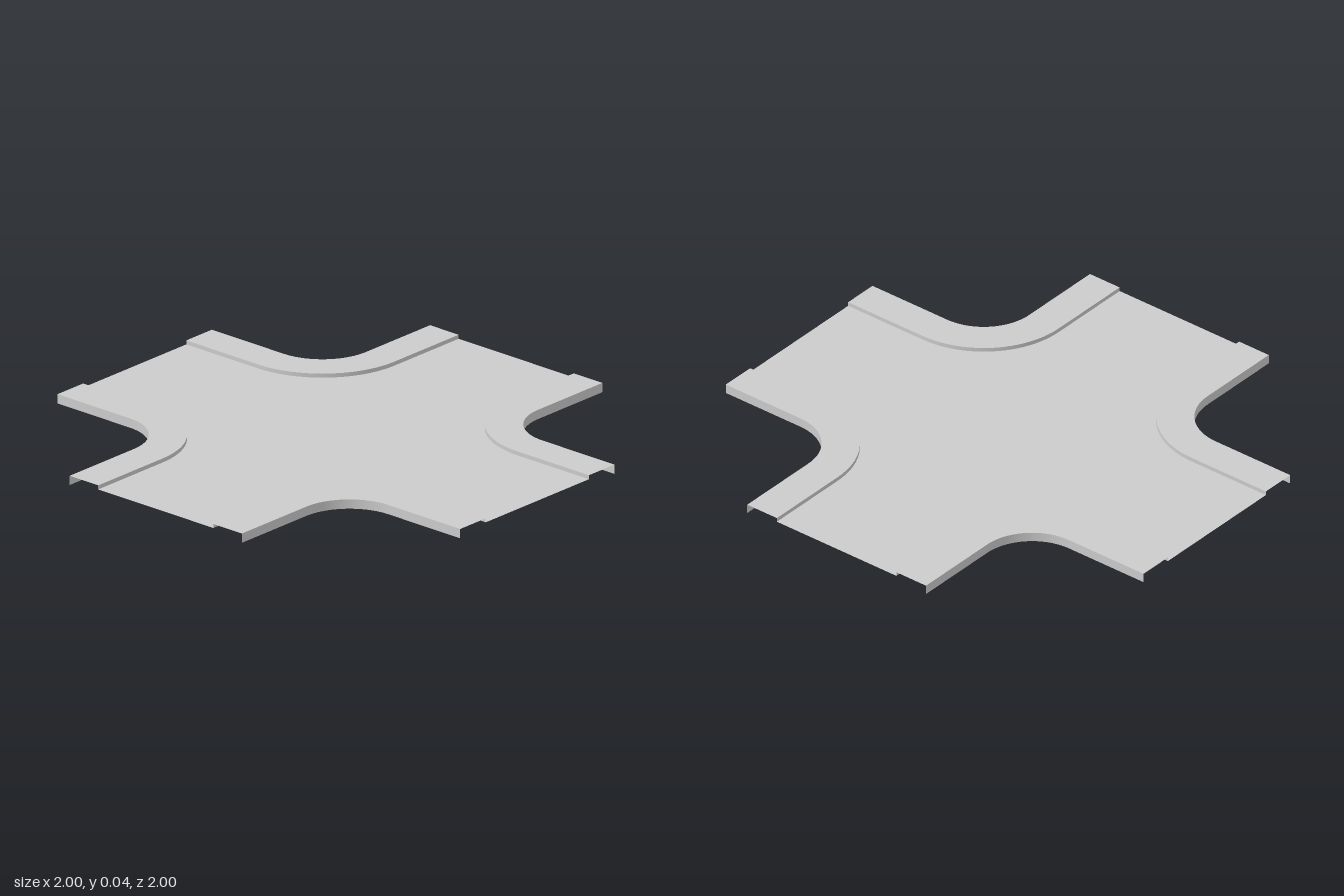
import * as THREE from 'three';

const material = new THREE.MeshStandardMaterial({ color: 0xcccccc, side: THREE.DoubleSide });

const INNER = 0.286, OUTER = 0.428, BEND = 0.643; // kerb line, outer edge, centre of corner bend
const ROAD_Y = 0.021, TOP_Y = 0.037;
const SEGMENTS = 24;

// Line [x, z] along one corner: straight, quarter bend, straight
function cornerPath(edge) {
  const radius = BEND - edge;
  const points = [[edge, 1]];
  for (let i = 0; i <= SEGMENTS; i++) {
    const a = Math.PI * (1 + 0.5 * i / SEGMENTS);
    points.push([BEND + radius * Math.cos(a), BEND - radius * Math.cos(a - Math.PI / 2) * -1]);
  }
  points.push([1, edge]);
  return points;
}

// Open strip between two corner lines, each at its own height
function strip(name, edgeA, yA, edgeB, yB) {
  const a = cornerPath(edgeA), b = cornerPath(edgeB);
  const positions = [], index = [];
  a.forEach((p, i) => {
    positions.push(p[0], yA, p[1], b[i][0], yB, b[i][1]);
    if (i < a.length - 1) {
      const k = i * 2;
      index.push(k, k + 1, k + 2, k + 1, k + 3, k + 2);
    }
  });
  const geometry = new THREE.BufferGeometry();
  geometry.setAttribute('position', new THREE.Float32BufferAttribute(positions, 3));
  geometry.setIndex(index);
  geometry.computeVertexNormals();
  const mesh = new THREE.Mesh(geometry, material);
  mesh.name = name;
  return mesh;
}

export function createModel() {
  const group = new THREE.Group();
  group.name = 'crossroads';

  // Thin road sheet: a cross whose inside corners are cut straight beneath the pavements
  const outline = [];
  for (let q = 0; q < 4; q++) {
    const turn = q * Math.PI / 2;
    for (const [x, y] of [[1, INNER], [BEND, INNER], [INNER, BEND], [INNER, 1]]) {
      outline.push(new THREE.Vector2(x, y).rotateAround(new THREE.Vector2(), turn));
    }
  }
  const roadGeometry = new THREE.ShapeGeometry(new THREE.Shape(outline));
  roadGeometry.rotateX(-Math.PI / 2);
  const road = new THREE.Mesh(roadGeometry, material);
  road.name = 'road';
  road.position.y = ROAD_Y;
  group.add(road);

  // Four raised corner pavements, open at the ends and below
  for (let q = 0; q < 4; q++) {
    const corner = new THREE.Group();
    corner.name = 'cornerPavement';
    corner.add(
      strip('kerb', INNER, ROAD_Y, INNER, TOP_Y),
      strip('pavementTop', INNER, TOP_Y, OUTER, TOP_Y),
      strip('outerSkirt', OUTER, TOP_Y, OUTER, 0),
    );
    corner.rotation.y = q * Math.PI / 2;
    group.add(corner);
  }
  return group;
}
